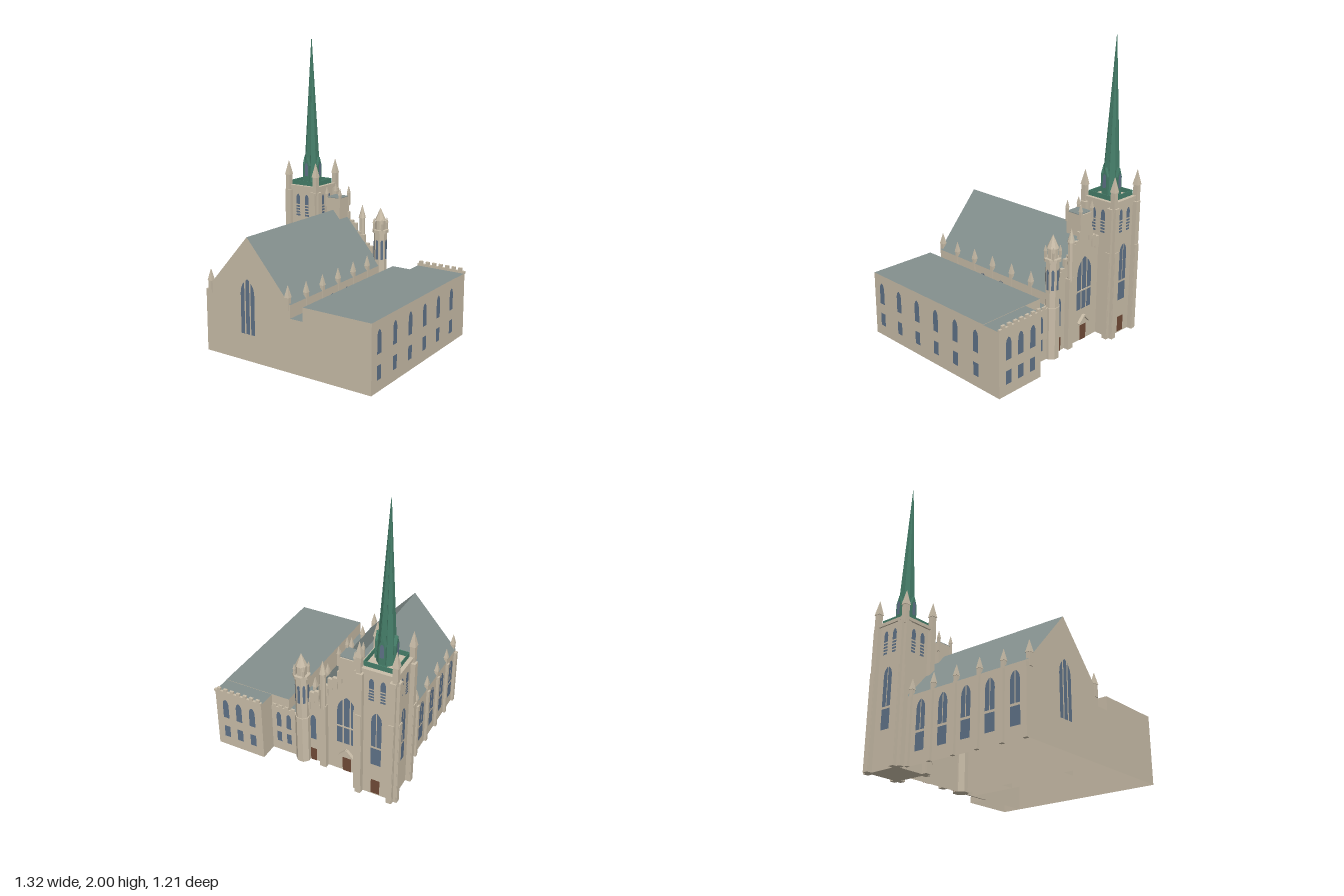
import * as THREE from 'three';
import { toCreasedNormals } from 'three/addons/utils/BufferGeometryUtils.js';

const paint = (name, color, side = THREE.FrontSide) => {
  const m = new THREE.MeshStandardMaterial({ color, side });
  m.name = name;
  return m;
};

export function createModel() {
  const stone = paint('stone', 0xc9bda8, THREE.DoubleSide);
  const slate = paint('slate', 0x84908e, THREE.DoubleSide);
  const copper = paint('copper', 0x467f6a, THREE.DoubleSide);
  const glass = paint('glass', 0x5f7288, THREE.DoubleSide);
  const wood = paint('wood', 0x704a36, THREE.DoubleSide);
  const model = new THREE.Group();
  let part;
  const begin = (name) => { part = new THREE.Group(); part.name = name; model.add(part); };
  const add = (name, geo, mat, x = 0, y = 0, z = 0, ry = 0) => {
    const m = new THREE.Mesh(geo, mat);
    m.name = name;
    m.position.set(x, y, z);
    m.rotation.y = ry;
    part.add(m);
    return m;
  };
  // box given by its limits
  const box = (name, mat, x0, x1, y0, y1, z0, z1) =>
    add(name, new THREE.BoxGeometry(x1 - x0, y1 - y0, z1 - z0), mat, (x0 + x1) / 2, (y0 + y1) / 2, (z0 + z1) / 2);
  // flat four-cornered surface
  const quad = (name, mat, ...p) => {
    const g = new THREE.BufferGeometry();
    g.setAttribute('position', new THREE.Float32BufferAttribute(p.flat(), 3));
    g.setIndex([0, 1, 2, 0, 2, 3]);
    g.computeVertexNormals();
    return add(name, g, mat);
  };
  // four walls open below, with a flat slate roof
  const hollow = (name, x0, x1, h, z0, z1) => {
    const g = new THREE.BoxGeometry(x1 - x0, h, z1 - z0);
    const idx = Array.from(g.index.array);
    g.setIndex([...idx.slice(0, 12), ...idx.slice(24)]);
    g.clearGroups();
    add(name + 'Walls', g, stone, (x0 + x1) / 2, h / 2, (z0 + z1) / 2);
    quad(name + 'Roof', slate, [x0, h, z0], [x0, h, z1], [x1, h, z1], [x1, h, z0]);
  };
  // faceted prism or cone; r is the distance to the flat sides
  const prism = (name, mat, n, rTop, rBase, y0, y1, x, z) => {
    const k = 1 / Math.cos(Math.PI / n);
    const g = toCreasedNormals(new THREE.CylinderGeometry(rTop * k, rBase * k, y1 - y0, n), 0.2);
    return add(name, g, mat, x, (y0 + y1) / 2, z, Math.PI / n);
  };
  const pinnacle = (x, z, y0, y1, top, r, n = 4) => {
    prism('pinnacleShaft', stone, n, r * 0.8, r * 0.8, y0, y1, x, z);
    prism('pinnacleCap', stone, n, 0.001, r, y1, top, x, z);
  };
  // pointed window split into n lights; y is the sill
  const archWindow = (w, h, n, x, y, z, ry, gap = 0.01) => {
    const a = w / 2, spring = h - a * Math.sqrt(3);
    const top = (t) => spring + Math.sqrt(Math.max(0, 4 * a * a - (Math.abs(t) + a) ** 2));
    const lw = (w - gap * (n - 1)) / n;
    for (let i = 0; i < n; i++) {
      const l = -a + i * (lw + gap), s = new THREE.Shape();
      s.moveTo(l, 0);
      s.lineTo(l + lw, 0);
      for (let k = 8; k >= 0; k--) s.lineTo(l + lw * k / 8, top(l + lw * k / 8));
      add('window', new THREE.ShapeGeometry(s), glass, x, y, z, ry);
    }
  };
  const plate = (name, mat, w, h, x, y, z, ry) =>
    add(name, new THREE.PlaneGeometry(w, h), mat, x, y + h / 2, z, ry);
  const BACK = Math.PI, EAST = Math.PI / 2, WEST = -Math.PI / 2;

  // nave: gabled hall with open underside
  begin('nave');
  const X0 = -0.585, X1 = 0.075, CX = -0.255, E = 0.435, R = 0.81, Z0 = -0.46, Z1 = 0.59;
  const roofY = (x) => R - (R - E) * Math.abs(x - CX) / 0.33;
  const gable = new THREE.Shape();
  [[X0, 0], [X1, 0], [X1, E], [CX, R], [X0, E]].forEach(([x, y], i) => i ? gable.lineTo(x, y) : gable.moveTo(x, y));
  add('frontGable', new THREE.ShapeGeometry(gable), stone, 0, 0, Z1);
  add('backGable', new THREE.ShapeGeometry(gable), stone, 0, 0, Z0);
  for (const x of [X0, X1]) {
    quad('sideWall', stone, [x, 0, Z0], [x, 0, Z1], [x, E, Z1], [x, E, Z0]);
    quad('naveRoof', slate, [x, E, Z0], [x, E, Z1], [CX, R, Z1], [CX, R, Z0]);
  }
  archWindow(0.11, 0.36, 3, CX, 0.18, Z1 + 0.003, 0);
  for (const z of [-0.29, -0.115, 0.065, 0.24, 0.415]) {
    box('buttress', stone, X0 - 0.018, X0 + 0.005, 0, 0.42, z - 0.013, z + 0.013);
    pinnacle(X0 + 0.005, z, 0.38, 0.47, 0.54, 0.015);
    pinnacle(X1 - 0.007, z, 0.38, 0.47, 0.54, 0.015);
  }
  box('buttress', stone, X0 - 0.018, X0 + 0.005, 0, 0.42, 0.56, 0.59);
  for (const x of [-0.565, 0.055]) pinnacle(x, 0.583, 0.4, 0.48, 0.555, 0.017);
  for (let i = 0; i < 5; i++) {
    const z = -0.203 + i * 0.176;
    for (const [x, ry] of [[X0 - 0.003, WEST], [X1 + 0.003, EAST]]) {
      if (ry === EAST && (i === 0 || i > 2)) continue;
      plate('lowerWindow', glass, 0.07, 0.11, x, 0.08, z, ry);
      archWindow(0.07, 0.19, 2, x, 0.205, z, ry, 0.006);
    }
  }

  // entrance front at the back of the nave
  begin('entranceFront');
  archWindow(0.14, 0.37, 3, CX, 0.23, Z0 - 0.004, BACK);
  box('transom', stone, CX - 0.07, CX + 0.07, 0.36, 0.37, Z0 - 0.008, Z0);
  plate('door', wood, 0.06, 0.11, CX, 0, Z0 - 0.004, BACK);
  plate('sideDoor', wood, 0.045, 0.1, -0.01, 0, Z0 - 0.004, BACK);
  archWindow(0.04, 0.2, 1, -0.01, 0.18, Z0 - 0.004, BACK);
  for (const s of [-1, 1]) {
    const hood = box('doorHood', stone, -0.036, 0.036, -0.006, 0.006, -0.012, 0.012);
    hood.position.set(CX + s * 0.025, 0.155, Z0 - 0.01);
    hood.rotation.z = -s * 0.8;
  }
  for (let i = 0; i < 9; i++) {
    for (const s of [-1, 1]) {
      const x = CX + s * (0.05 + i * 0.033);
      const y = roofY(x) + (i % 2 ? 0.012 : 0.032);
      if (x > -0.4) box('gableStep', stone, x - 0.017, x + 0.017, y - 0.08, y, Z0 - 0.01, Z0 + 0.012);
    }
  }
  // bell block on the ridge
  box('ridgeBlock', stone, -0.31, -0.2, 0.74, 0.895, -0.47, -0.35);
  box('ridgeBlockRoof', slate, -0.31, -0.2, 0.895, 0.899, -0.46, -0.35);
  for (const x of [-0.31, -0.2]) for (const z of [-0.465, -0.353]) pinnacle(x, z, 0.83, 0.92, 0.97, 0.01);
  // buttress with pinnacle
  box('facadeButtress', stone, -0.118, -0.072, 0, 0.5, -0.495, Z0);
  pinnacle(-0.095, -0.482, 0.48, 0.75, 0.84, 0.024, 8);

  // octagonal stair turret
  begin('stairTurret');
  const TX = 0.063, TZ = -0.47;
  prism('turretBase', stone, 8, 0.048, 0.048, 0, 0.36, TX, TZ);
  prism('turretShaft', stone, 8, 0.042, 0.042, 0.36, 0.67, TX, TZ);
  prism('turretCornice', stone, 8, 0.053, 0.053, 0.67, 0.69, TX, TZ);
  prism('turretLantern', stone, 8, 0.033, 0.033, 0.69, 0.755, TX, TZ);
  prism('turretCap', stone, 8, 0.001, 0.037, 0.755, 0.84, TX, TZ);
  for (let i = 0; i < 8; i++) {
    const a = i * Math.PI / 4, r = 0.045;
    archWindow(0.018, 0.14, 1, TX + r * Math.sin(a), 0.48, TZ + r * Math.cos(a), a);
    if (i % 2) pinnacle(TX + 0.046 * Math.sin(a), TZ + 0.046 * Math.cos(a), 0.68, 0.735, 0.77, 0.008);
  }

  // parish hall and the links around the courtyard
  begin('parishHall');
  hollow('hall', 0.17, 0.655, 0.44, -0.465, 0.59);
  hollow('hallWing', 0.3, 0.655, 0.437, -0.597, -0.465);
  hollow('frontLink', 0.075, 0.17, 0.35, 0.33, 0.59);
  hollow('backLink', 0.075, 0.17, 0.35, -0.465, -0.135);
  box('linkFace', stone, 0.1, 0.3, 0, 0.355, -0.474, -0.464);
  for (let i = 0; i < 4; i++) box('linkMerlon', stone, 0.125 + i * 0.047, 0.153 + i * 0.047, 0.355, 0.373, -0.474, -0.462);
  box('parapet', stone, 0.297, 0.658, 0.435, 0.453, -0.605, -0.588);
  for (let i = 0; i < 7; i++) box('merlon', stone, 0.31 + i * 0.05, 0.336 + i * 0.05, 0.453, 0.472, -0.605, -0.588);
  const hallWindows = (x, z, ry, w) => {
    archWindow(w, 0.15, 1, x, 0.235, z, ry);
    plate('lowerWindow', glass, w, 0.09, x, 0.075, z, ry);
  };
  for (const z of [0.51, 0.33, 0.147, -0.035, -0.217, -0.4]) hallWindows(0.658, z, EAST, 0.045);
  for (const x of [0.375, 0.478, 0.58]) hallWindows(x, -0.6, BACK, 0.045);
  for (const x of [0.17, 0.245]) {
    archWindow(0.035, 0.12, 1, x, 0.2, -0.477, BACK);
    plate('lowerWindow', glass, 0.035, 0.08, x, 0.075, -0.477, BACK);
  }

  // tower with angle buttresses
  begin('tower');
  const SX = -0.512, SZ = -0.455, H = 0.118;
  box('towerBody', stone, SX - H, SX + H, 0, 0.94, SZ - H, SZ + H);
  box('towerCornice', stone, SX - 0.128, SX + 0.128, 0.935, 0.957, SZ - 0.13, SZ + 0.13);
  for (const sx of [-1, 1]) for (const sz of [-1, 1]) {
    const x = SX + sx * 0.108, z = SZ + sz * 0.108;
    const along = box('buttress', stone, -0.02, 0.02, 0, 0.92, -0.02, 0.02);
    along.position.set(x + sx * 0.02, 0.46, z);
    const across = along.clone();
    across.position.set(x, 0.46, z + sz * 0.02);
    part.add(across);
    for (const [dx, dz] of [[0.028, 0], [0, 0.028]]) {
      const foot = box('buttressFoot', stone, -0.018, 0.018, 0, 0.62, -0.018, 0.018);
      foot.position.set(x + sx * dx, 0.31, z + sz * dz);
    }
    pinnacle(SX + sx * 0.118, SZ + sz * 0.122, 0.9, 1.03, 1.13, 0.021);
  }
  for (let i = 0; i < 4; i++) {
    const a = i * Math.PI / 2, r = H + 0.003, c = Math.cos(a), s = Math.sin(a);
    const at = (u, d) => [SX + u * c + d * s, SZ - u * s + d * c];
    // louvred belfry openings
    for (const u of [-0.038, 0.038]) {
      const [x, z] = at(u, r);
      archWindow(0.034, 0.075, 1, x, 0.82, z, a);
      for (let k = 0; k < 4; k++) plate('louvre', glass, 0.034, 0.013, x, 0.735 + k * 0.021, z, a);
    }
    // tall windows on the two outer faces
    if (i >= 2) {
      const [x, z] = at(0, r);
      archWindow(0.07, 0.26, 2, x, 0.39, z, a, 0.006);
      plate('lowerWindow', glass, 0.07, 0.13, x, 0.245, z, a);
      if (i === 2) plate('door', wood, 0.06, 0.11, x, 0.01, z, a);
    }
    // copper parapet
    const [px, pz] = at(0, 0.1);
    add('copperParapet', new THREE.BoxGeometry(0.204, 0.034, 0.004), copper, px, 0.973, pz, a);
    // spire dormers
    const g = new THREE.Shape();
    [[-0.022, 0], [0.022, 0], [0.022, 0.12], [0, 0.18], [-0.022, 0.12]].forEach(([x, y], k) => k ? g.lineTo(x, y) : g.moveTo(x, y));
    const [dx, dz] = at(0, 0.03);
    add('dormer', new THREE.ExtrudeGeometry(g, { depth: 0.038, bevelEnabled: false }), copper, dx, 0.975, dz, a);
    const [wx, wz] = at(0, 0.071);
    archWindow(0.026, 0.095, 1, wx, 1.02, wz, a);
  }

  // copper spire with ribs along its edges
  begin('spire');
  prism('spireBody', copper, 8, 0.001, 0.056, 0.957, 2, SX, SZ);
  for (let i = 0; i < 8; i++) {
    const a = (i + 0.5) * Math.PI / 4, r = 0.0615;
    const path = new THREE.LineCurve3(new THREE.Vector3(SX + r * Math.sin(a), 0.957, SZ + r * Math.cos(a)), new THREE.Vector3(SX, 1.99, SZ));
    add('spireRib', new THREE.TubeGeometry(path, 1, 0.0025, 4), copper);
  }
  return model;
}
